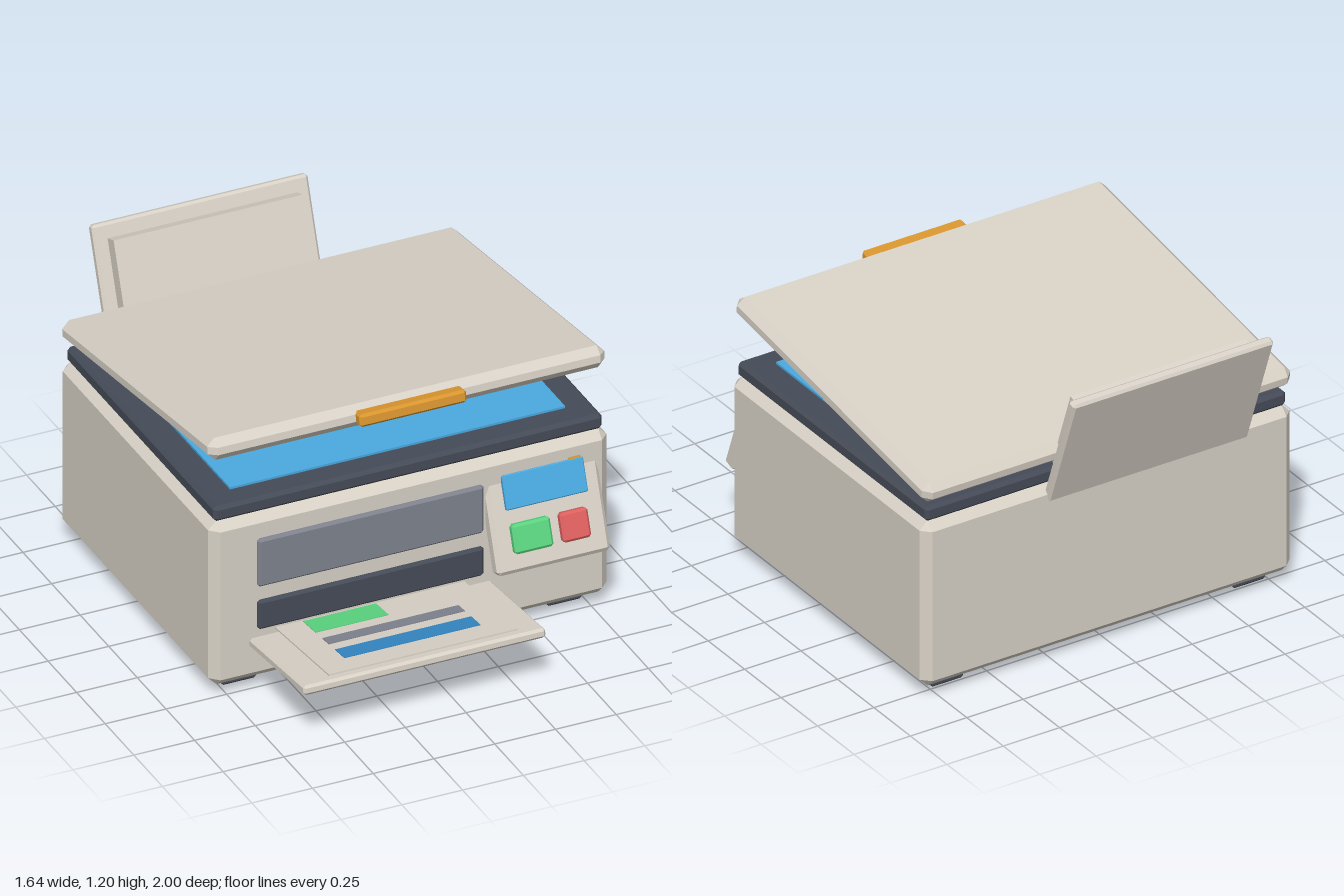
import * as THREE from 'three';
import { ConvexGeometry } from 'three/addons/geometries/ConvexGeometry.js';

const mat = (name, color) => {
  const m = new THREE.MeshStandardMaterial({ color });
  m.name = name;
  return m;
};

// Box with flat chamfered edges
function chamferBox(w, h, d, c) {
  const pts = [];
  for (const sx of [-1, 1]) for (const sy of [-1, 1]) for (const sz of [-1, 1]) {
    const x = w / 2, y = h / 2, z = d / 2;
    pts.push(
      new THREE.Vector3(sx * x, sy * (y - c), sz * (z - c)),
      new THREE.Vector3(sx * (x - c), sy * y, sz * (z - c)),
      new THREE.Vector3(sx * (x - c), sy * (y - c), sz * z));
  }
  return new ConvexGeometry(pts);
}

// Adds a block given by its [min, max] along x, y and z
function block(parent, name, material, [x0, x1], [y0, y1], [z0, z1], c = 0) {
  const w = x1 - x0, h = y1 - y0, d = z1 - z0;
  const geo = c > 0 ? chamferBox(w, h, d, c) : new THREE.BoxGeometry(w, h, d);
  const mesh = new THREE.Mesh(geo, material);
  mesh.name = name;
  mesh.position.set((x0 + x1) / 2, (y0 + y1) / 2, (z0 + z1) / 2);
  parent.add(mesh);
  return mesh;
}

// Group leaning back by an angle in degrees
function tilted(parent, name, degrees, x = 0, y = 0, z = 0) {
  const g = new THREE.Group();
  g.name = name;
  g.position.set(x, y, z);
  g.rotation.x = -THREE.MathUtils.degToRad(degrees);
  parent.add(g);
  return g;
}

export function createModel() {
  const beige = mat('beige plastic', 0xd8d1c6);
  const dark = mat('dark plastic', 0x454b57);
  const slate = mat('slate grey', 0x7f838e);
  const sky = mat('glass blue', 0x4aa9e0);
  const blue = mat('print blue', 0x3586c4);
  const green = mat('green', 0x5bd480);
  const red = mat('red', 0xdf6060);
  const orange = mat('orange', 0xda962f);

  const model = new THREE.Group();
  model.name = 'printer';

  // Body, scanner bed and feet
  block(model, 'body', beige, [-0.82, 0.82], [0.045, 0.757], [-0.82, 0.52], 0.035);
  block(model, 'scannerRim', dark, [-0.8, 0.8], [0.755, 0.82], [-0.8, 0.5], 0.014);
  block(model, 'scannerGlass', sky, [-0.69, 0.69], [0.815, 0.829], [-0.69, 0.4]);
  for (const x of [-0.67, 0.67]) for (const z of [-0.675, 0.37])
    block(model, 'foot', dark, [x - 0.073, x + 0.073], [0, 0.046], [z - 0.073, z + 0.073], 0.01);

  // Front panel and paper slot
  block(model, 'frontPanel', slate, [-0.635, 0.295], [0.45, 0.657], [0.5, 0.535], 0.01);
  block(model, 'paperSlot', dark, [-0.635, 0.295], [0.265, 0.39], [0.5, 0.535], 0.01);

  // Raised lid with handle
  const lid = tilted(model, 'lid', 8, 0, 0.9725, -0.16);
  block(lid, 'lidPanel', beige, [-0.817, 0.817], [-0.045, 0.045], [-0.67, 0.67], 0.03);
  block(lid, 'lidHandle', orange, [-0.22, 0.22], [-0.027, 0.025], [0.65, 0.71], 0.01);

  // Rear paper support, leaning back
  const support = tilted(model, 'paperSupport', 20);
  block(support, 'supportPanel', beige, [-0.615, 0.275], [0.925, 1.46], [-0.537, -0.496], 0.01);
  block(support, 'supportInset', beige, [-0.56, 0.22], [0.97, 1.4], [-0.498, -0.44]);

  // Control panel with screen, buttons and lamp
  const controls = tilted(model, 'controls', 20);
  block(controls, 'controlPanel', beige, [0.305, 0.77], [0.075, 0.5], [0.64, 0.708], 0.015);
  block(controls, 'screen', sky, [0.37, 0.705], [0.32, 0.455], [0.7, 0.726], 0.004);
  block(controls, 'startButton', green, [0.375, 0.533], [0.15, 0.265], [0.7, 0.74], 0.01);
  block(controls, 'stopButton', red, [0.573, 0.688], [0.15, 0.265], [0.7, 0.74], 0.01);
  block(controls, 'lamp', orange, [0.645, 0.695], [0.445, 0.463], [0.7, 0.7235]);

  // Output tray with a printed sheet
  const tray = tilted(model, 'outputTray', 6, -0.167, 0.231, 0.72);
  block(tray, 'trayPanel', beige, [-0.498, 0.498], [-0.02, 0.02], [-0.28, 0.28], 0.01);
  block(tray, 'sheet', beige, [-0.393, 0.385], [0.038, 0.044], [-0.23, 0.275]);
  const marks = [
    ['greenBlock', green, 0.017, -0.185, -0.075],
    ['greyLine', slate, 0.277, -0.016, 0.04],
    ['blueLine', blue, 0.277, 0.096, 0.178],
  ];
  for (const [name, material, x1, z0, z1] of marks)
    block(tray, name, material, [-0.283, x1], [0.043, 0.047], [z0, z1]);

  return model;
}
